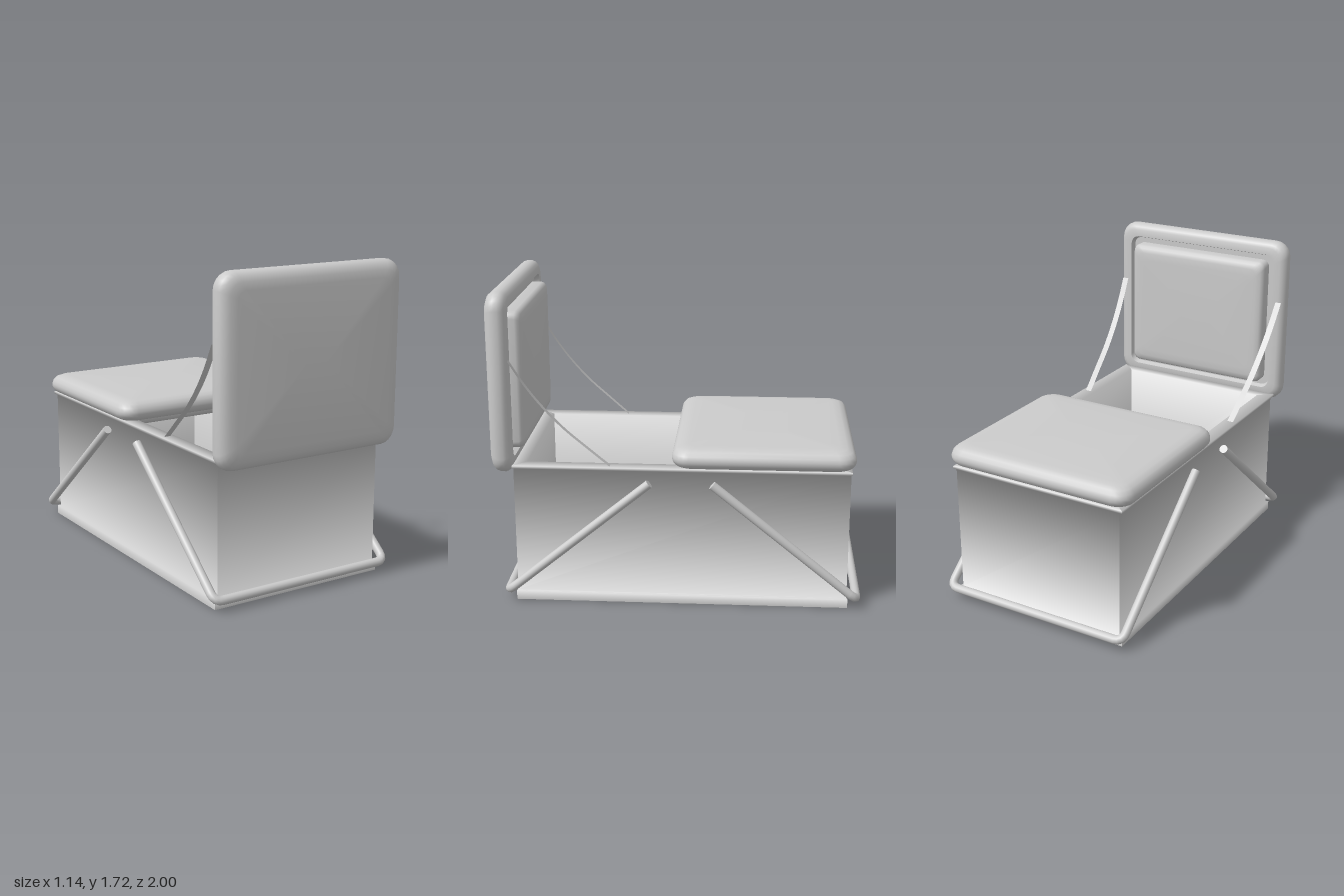
import * as THREE from 'three';
import { toCreasedNormals } from 'three/addons/utils/BufferGeometryUtils.js';

const material = new THREE.MeshStandardMaterial({ color: 0xcccccc });
const thin = new THREE.MeshStandardMaterial({ color: 0xcccccc, side: THREE.DoubleSide });

function mesh(name, geometry, mat = material) {
  const m = new THREE.Mesh(geometry, mat);
  m.name = name;
  return m;
}

// One side of the box: a profile [halfX, halfZ, y], softly shaded across its height
function boxSide(profile, turn) {
  const a = turn * Math.PI / 2, s = Math.round(Math.sin(a)), c = Math.round(Math.cos(a));
  const pts = profile.map(([hx, hz, y]) => s ? [hx, hz, y] : [hz, hx, y]); // [out, along, y]
  const segs = pts.slice(1).map((p, i) =>
    new THREE.Vector2(p[2] - pts[i][2], pts[i][0] - p[0]).normalize());
  const pos = [], nor = [], idx = [];
  pts.forEach(([out, along, y], i) => {
    const n = new THREE.Vector2();
    if (i > 0) n.add(segs[i - 1]);
    if (i < segs.length) n.add(segs[i]);
    n.normalize();
    for (const e of [-along, along]) {
      pos.push(s * out + c * e, y, c * out - s * e);
      nor.push(s * n.x, n.y, c * n.x);
    }
    const k = 2 * i;
    if (i < segs.length) idx.push(k, k + 1, k + 3, k, k + 3, k + 2);
  });
  const g = new THREE.BufferGeometry();
  g.setAttribute('position', new THREE.Float32BufferAttribute(pos, 3));
  g.setAttribute('normal', new THREE.Float32BufferAttribute(nor, 3));
  g.setIndex(idx);
  return g;
}

// Rounded rectangles stacked by [inset, height] rings
function roundedLoft(hx, hz, radius, rings) {
  const steps = 5, n = 4 * (steps + 1), pos = [], idx = [];
  rings.forEach(([inset, h], j) => {
    const x = Math.max(hx - inset, 0), z = Math.max(hz - inset, 0);
    const r = Math.min(Math.max(radius - inset * 0.5, 0.04), x, z);
    for (let q = 0; q < 4; q++) {
      const sx = q === 0 || q === 3 ? 1 : -1, sz = q < 2 ? -1 : 1;
      for (let k = 0; k <= steps; k++) {
        const t = (q + k / steps) * Math.PI / 2;
        pos.push(sx * (x - r) + r * Math.cos(t), h, sz * (z - r) - r * Math.sin(t));
      }
    }
    if (j === rings.length - 1) return;
    for (let i = 0; i < n; i++) {
      const a = j * n + i, b = j * n + (i + 1) % n;
      idx.push(a, a + n, b + n, a, b + n, b);
    }
  });
  const g = new THREE.BufferGeometry();
  g.setAttribute('position', new THREE.Float32BufferAttribute(pos, 3));
  g.setIndex(idx);
  return toCreasedNormals(g, 0.8);
}

// Lid with soft edges, a groove underneath and a raised inner cushion
function lid(name, thickness) {
  const t = thickness;
  const rings = [
    [0.49, t], [0.09, t], [0.05, t - 0.004], [0.022, t - 0.016], [0.006, t - 0.035], [0, t - 0.055],
    [0, 0.04], [0.006, 0.024], [0.018, 0.009], [0.035, 0], [0.075, 0], [0.085, 0.03],
    [0.115, 0.03], [0.115, -0.025], [0.12, -0.04], [0.133, -0.052], [0.16, -0.058],
    [0.2, -0.06], [0.49, -0.06]];
  return mesh(name, roundedLoft(0.555, 0.49, 0.09, rings));
}

// U-shaped handle: arm, rounded corner, crossbar, rounded corner, arm
function handle(name, zTop, zLow) {
  const g = new THREE.Group();
  g.name = name;
  const x = 0.547, radius = 0.024;
  const top = new THREE.Vector3(x, 0.705, zTop), corner = new THREE.Vector3(x, 0.063, zLow);
  const nearArm = corner.clone().lerp(top, 0.05), nearBar = corner.clone().setX(x - 0.05);
  const flip = v => v.clone().setX(-v.x);
  const path = new THREE.CurvePath();
  path.add(new THREE.LineCurve3(top, nearArm));
  path.add(new THREE.QuadraticBezierCurve3(nearArm, corner, nearBar));
  path.add(new THREE.LineCurve3(nearBar, flip(nearBar)));
  path.add(new THREE.QuadraticBezierCurve3(flip(nearBar), flip(corner), flip(nearArm)));
  path.add(new THREE.LineCurve3(flip(nearArm), flip(top)));
  g.add(mesh('handleBar', new THREE.TubeGeometry(path, 160, radius, 14)));
  const out = top.clone().sub(corner);
  for (const p of [top, flip(top)]) {
    const cap = mesh('handleEnd', new THREE.CircleGeometry(radius, 14));
    cap.position.copy(p);
    cap.lookAt(p.clone().add(out));
    g.add(cap);
  }
  return g;
}

// Ribbon holding the open lid
function strap(side) {
  const curve = new THREE.CatmullRomCurve3([[0.36, 0.78], [0.47, 0.875], [0.6, 0.99],
    [0.71, 1.11], [0.8, 1.23], [0.88, 1.36]].map(([z, y]) => new THREE.Vector3(0, y, z)));
  const g = new THREE.PlaneGeometry(0.036, 1, 1, 24), p = g.attributes.position;
  for (let i = 0; i < p.count; i++) {
    const t = p.getY(i) + 0.5, c = curve.getPoint(t);
    p.setXYZ(i, side * (0.482 + 0.04 * t) + p.getX(i), c.y, c.z);
  }
  g.computeVertexNormals();
  return mesh(side > 0 ? 'leftStrap' : 'rightStrap', g, thin);
}

export function createModel() {
  const model = new THREE.Group();
  model.name = 'lidded basket';

  // Box: base lip, wall, top rim and inner wall
  const box = new THREE.Group();
  box.name = 'box';
  box.position.z = -0.0225;
  const profile = [[0.52, 0.9075, 0], [0.52, 0.9075, 0.05], [0.502, 0.902, 0.05], [0.502, 0.902, 0.765],
    [0.52, 0.9075, 0.765], [0.52, 0.9075, 0.78], [0.44, 0.835, 0.78], [0.44, 0.835, 0.05]];
  for (let i = 0; i < 4; i++) box.add(mesh('boxSide', boxSide(profile, i)));
  const floor = mesh('innerFloor', new THREE.PlaneGeometry(0.88, 1.67));
  floor.rotation.x = -Math.PI / 2;
  floor.position.y = 0.05;
  const underside = mesh('underside', new THREE.PlaneGeometry(1.04, 1.815));
  underside.rotation.x = Math.PI / 2;
  box.add(floor, underside);
  model.add(box);

  // Back lid closed, front lid standing open
  const closedLid = lid('closedLid', 0.11);
  closedLid.position.set(0, 0.785, -0.462);
  const openLid = lid('openLid', 0.12);
  openLid.rotation.x = Math.PI / 2;
  openLid.position.set(0, 1.225, 0.88);
  model.add(closedLid, openLid);

  model.add(handle('frontHandle', 0.145, 0.925), handle('backHandle', -0.19, -0.976));
  model.add(strap(1), strap(-1));
  return model;
}
